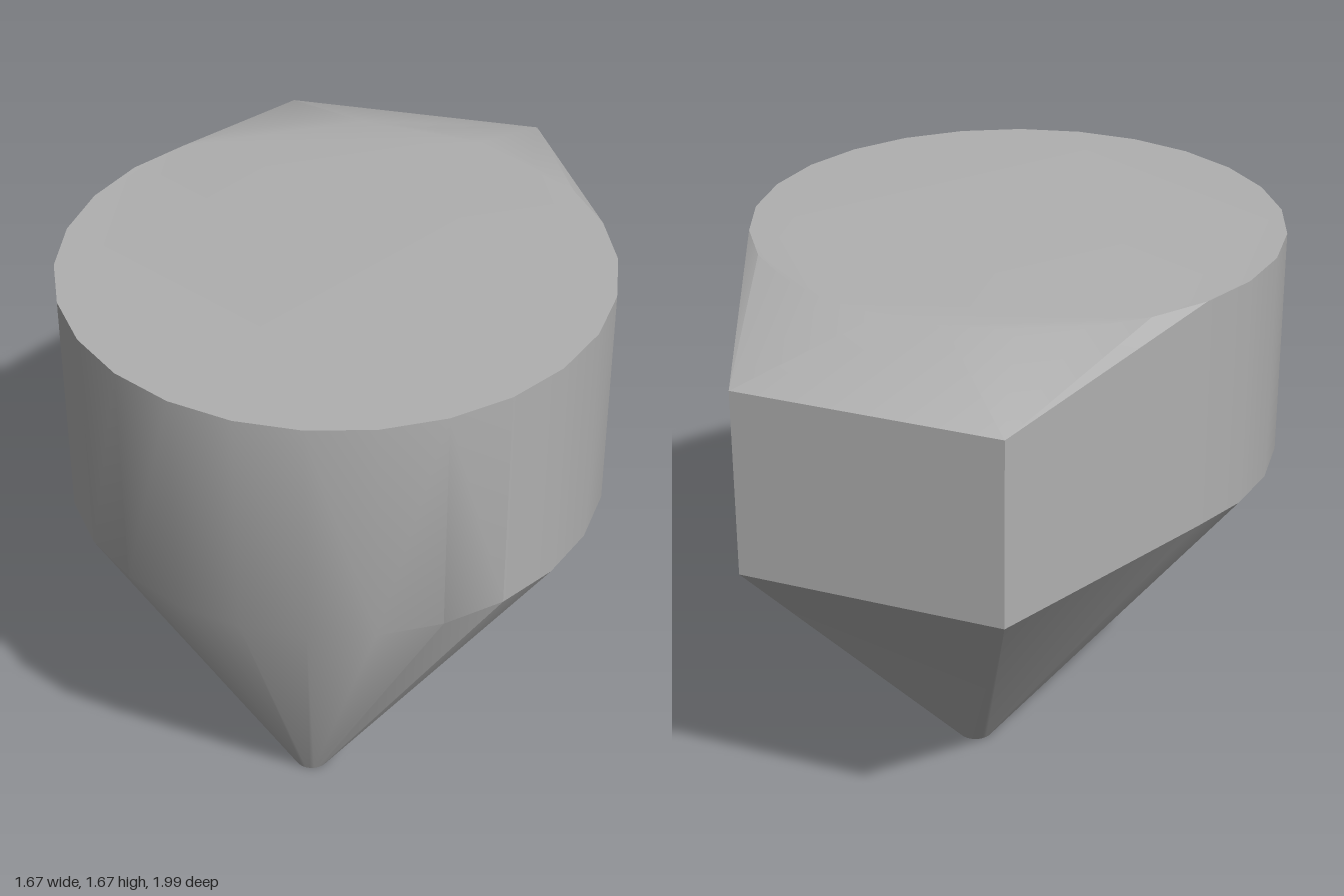
import * as THREE from 'three';
import { ConvexGeometry } from 'three/addons/geometries/ConvexGeometry.js';
import { toCreasedNormals } from 'three/addons/utils/BufferGeometryUtils.js';

const SIDES = 26;

// Points of a horizontal circle at height y, centred on x = 0
function ring(radius, y, z) {
  return Array.from({ length: SIDES }, (_, i) => {
    const a = (i / SIDES) * Math.PI * 2;
    return new THREE.Vector3(Math.cos(a) * radius, y, z + Math.sin(a) * radius);
  });
}

export function createModel() {
  const grey = new THREE.MeshStandardMaterial({ color: 0xb0b0b0 });
  grey.name = 'grey';

  const points = [
    // round drum, top and bottom rims
    ...ring(0.835, 1.67, 0.165),
    ...ring(0.835, 0.93, 0.165),
    // narrow rounded foot, front and back ends
    ...ring(0.055, 0, 0.545),
    ...ring(0.055, 0, -0.205),
  ];
  // flat back plate, lower than the drum's top
  for (const x of [-0.417, 0.417]) {
    for (const y of [0.93, 1.525]) points.push(new THREE.Vector3(x, y, -1));
  }

  // One skin stretched over all the sections, smooth apart from sharp edges
  const hull = toCreasedNormals(new ConvexGeometry(points), Math.PI / 6);
  const body = new THREE.Mesh(hull, grey);
  body.name = 'taperedBody';

  const model = new THREE.Group();
  model.name = 'taperedHopper';
  model.add(body);
  return model;
}
